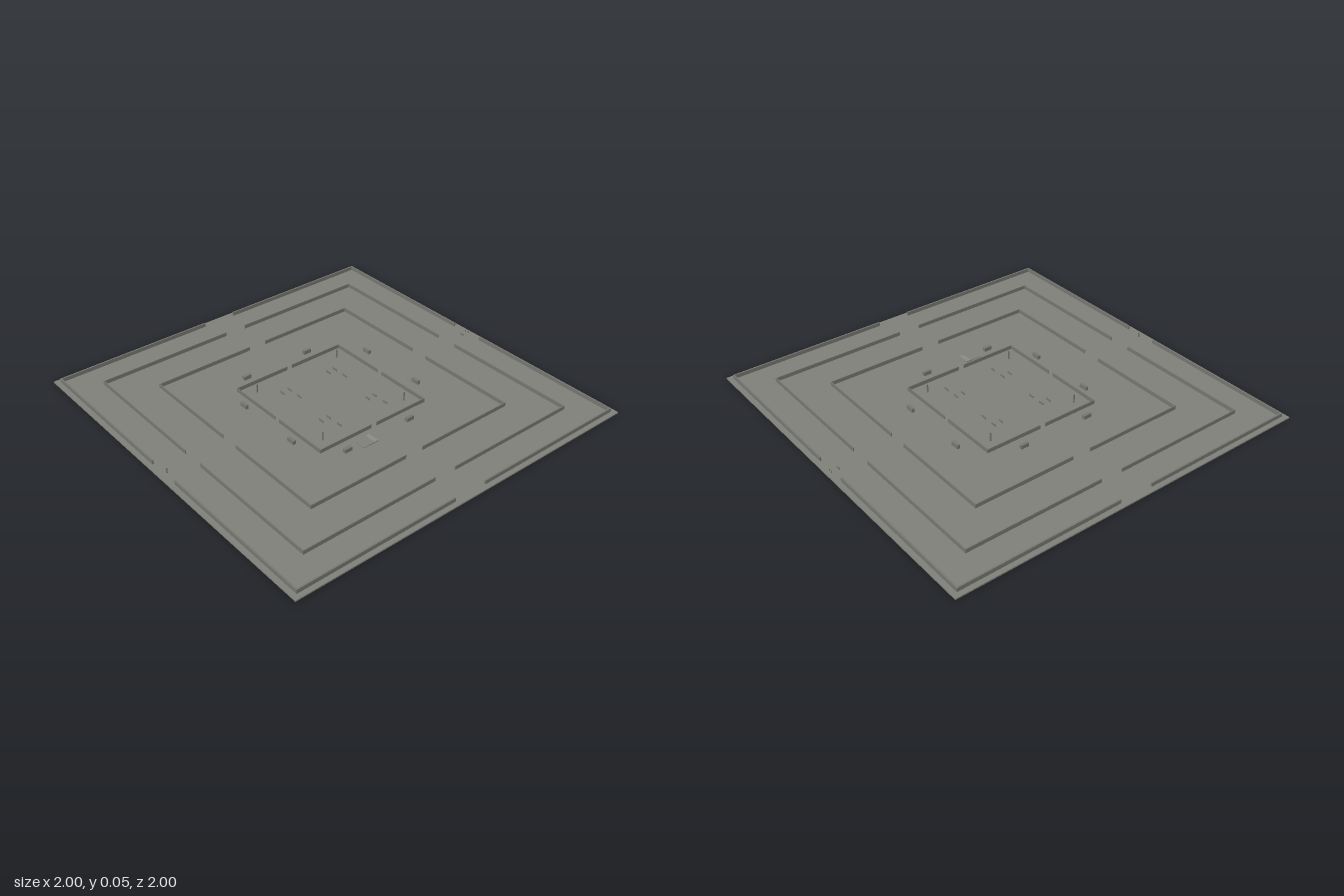
import * as THREE from 'three';

const material = (name, color) => {
  const m = new THREE.MeshStandardMaterial({ color });
  m.name = name;
  return m;
};

export function createModel() {
  const group = new THREE.Group();
  const ground = material('ground grey', 0x80817a);
  const stone = material('wall grey', 0x777872);
  const pale = material('pale grey', 0x8c8d86);
  const top = 0.007;

  // Box standing on height y0
  const box = (name, mat, w, h, d, x, z, y0 = top) => {
    const mesh = new THREE.Mesh(new THREE.BoxGeometry(w, h, d), mat);
    mesh.name = name;
    mesh.position.set(x, y0 + h / 2, z);
    group.add(mesh);
    return mesh;
  };

  box('groundSlab', ground, 2, top, 2, 0, 0, 0);

  // Concentric square walls, with a gate gap in the middle of each side
  const rings = [
    { r: 0.97, gap: 0.093, t: 0.008 },
    { r: 0.813, gap: 0.062, t: 0.005 },
    { r: 0.61, gap: 0.052, t: 0.005 },
    { r: 0.33, gap: 0.016, t: 0.004 },
  ];
  for (const { r, gap, t } of rings) {
    const len = r - gap, mid = (r + gap) / 2;
    for (const a of [-1, 1]) for (const b of [-1, 1]) {
      box('wallAcross', stone, len + t / 2, 0.021, t, a * (mid + t / 4), b * r);
      box('wallAlong', stone, t, 0.021, len - t / 2, a * r, b * (mid - t / 4));
    }
  }

  // Corner poles of the inner court
  for (const x of [-0.262, 0.257]) for (const z of [-0.262, 0.257]) {
    box('pole', stone, 0.006, 0.047, 0.006, x, z);
  }

  // Low blocks around the inner court
  for (const x of [-0.198, 0.178]) for (const z of [-0.417, 0.381]) {
    box('blockAcross', stone, 0.046, 0.021, 0.016, x, z);
  }
  for (const x of [-0.397, 0.398]) for (const z of [-0.168, 0.222]) {
    box('blockAlong', stone, 0.018, 0.021, 0.044, x, z);
  }

  // Small barriers inside the court
  for (const x of [-0.172, 0.138]) {
    for (const z of [-0.174, -0.13, 0.122, 0.168]) {
      box('barrier', stone, 0.03, 0.012, 0.003, x, z);
    }
    for (const z of [-0.174, 0.122]) {
      box('barrier', stone, 0.03, 0.012, 0.003, x + 0.078, z);
    }
  }

  // Flat platform with a short paler step
  box('platform', ground, 0.066, 0.004, 0.07, 0.397, 0.115);
  box('platformStep', pale, 0.066, 0.006, 0.025, 0.397, 0.073);

  // Gate markers at front and back
  box('frontMarker', stone, 0.006, 0.026, 0.006, 0, 0.955);
  for (const x of [-0.014, 0.004]) box('backPost', stone, 0.004, 0.012, 0.004, x, -0.975);
  box('backMarker', stone, 0.022, 0.01, 0.006, -0.005, -0.935);

  return group;
}
